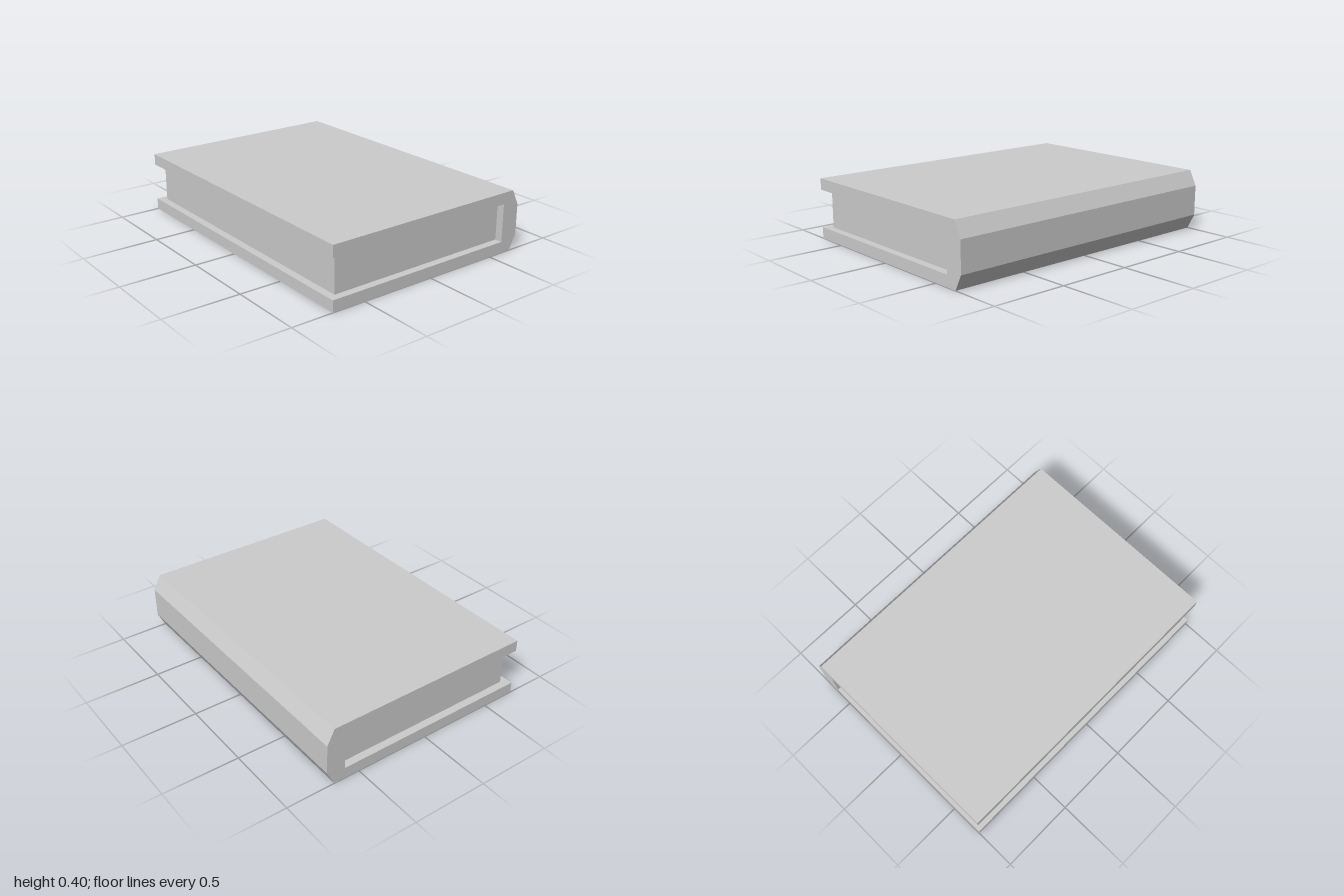
import * as THREE from 'three';

export function createModel() {
  const book = new THREE.Group();
  book.name = 'book';
  const grey = new THREE.MeshStandardMaterial({ color: 0xcccccc });
  grey.name = 'light grey';

  // Extrude an x-y outline along z, centred on z = 0
  const addPrism = (name, points, length) => {
    const shape = new THREE.Shape(points.map(([x, y]) => new THREE.Vector2(x, y)));
    const geometry = new THREE.ExtrudeGeometry(shape, { depth: length, bevelEnabled: false });
    geometry.translate(0, 0, -length / 2);
    const mesh = new THREE.Mesh(geometry, grey);
    mesh.name = name;
    book.add(mesh);
  };

  // Cover: two boards joined by a spine with chamfered edges
  addPrism('cover', [
    [-0.725, 0], [0.675, 0], [0.725, 0.1], [0.725, 0.3], [0.675, 0.4], [-0.725, 0.4],
    [-0.725, 0.325], [0.6, 0.325], [0.6, 0.075], [-0.725, 0.075],
  ], 2);

  // Page block, set back from the three open edges
  addPrism('pages', [[-0.675, 0.075], [0.6, 0.075], [0.6, 0.325], [-0.675, 0.325]], 1.9);

  return book;
}
